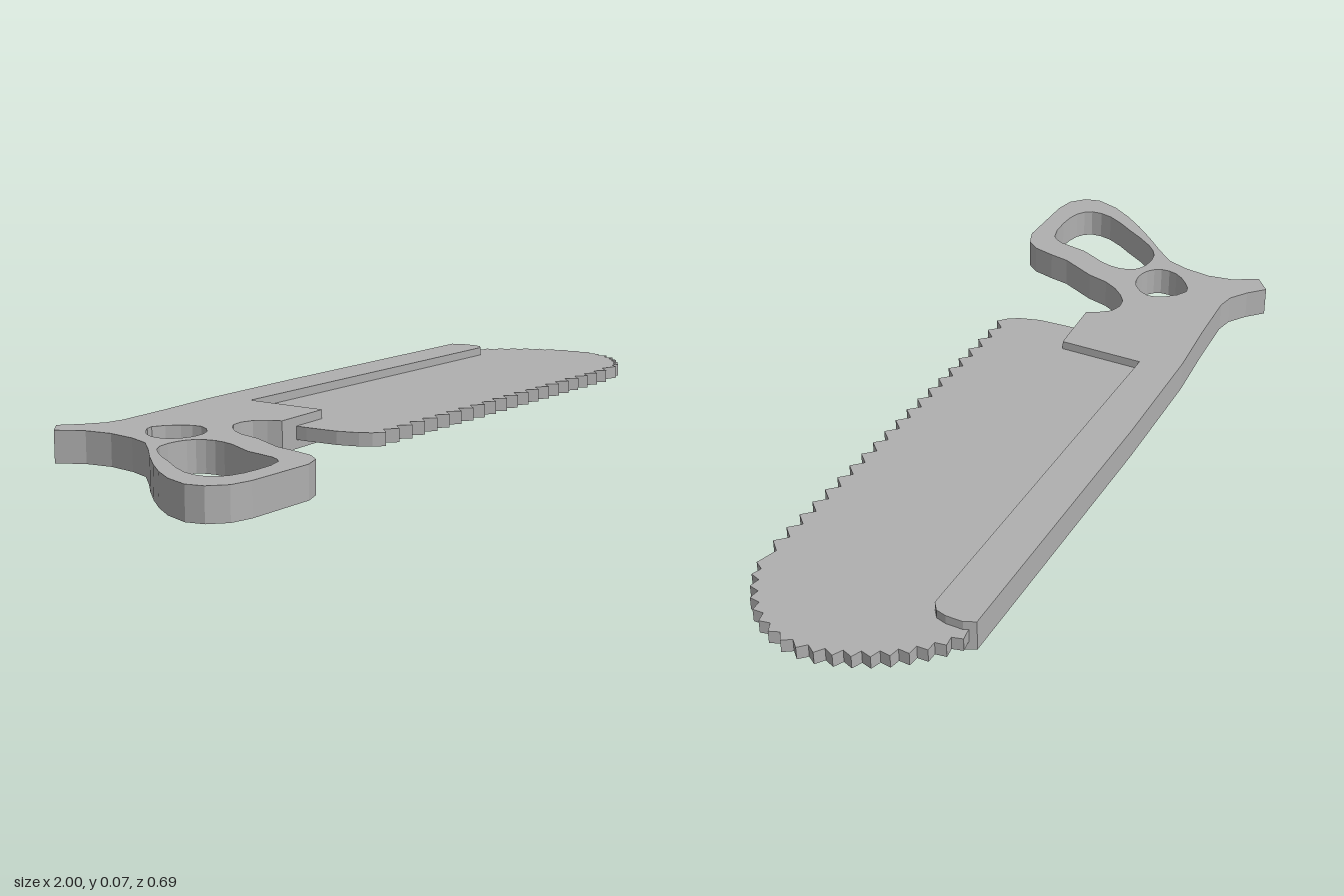
import * as THREE from 'three';

const steel = new THREE.MeshStandardMaterial({ color: 0xb0b0b0 });
steel.name = 'grey steel';

const toPoints = (list) => list.map(([x, z]) => new THREE.Vector2(x, z));

// Flat plate from an (x, z) outline, lying between two heights
function plate(name, outline, holes, bottom, top) {
  const shape = new THREE.Shape(outline);
  shape.holes = holes.map((h) => new THREE.Path(h));
  const geometry = new THREE.ExtrudeGeometry(shape, { depth: top - bottom, bevelEnabled: false });
  geometry.rotateX(Math.PI / 2).translate(0, top, 0);
  const mesh = new THREE.Mesh(geometry, steel);
  mesh.name = name;
  return mesh;
}

// Smooth closed loop for the finger openings
function loop(list) {
  const curve = new THREE.CatmullRomCurve3(list.map(([x, z]) => new THREE.Vector3(x, z, 0)), true);
  return curve.getPoints(list.length * 2).slice(0, -1).map((p) => new THREE.Vector2(p.x, p.y));
}

function makeFrame() {
  const outline = toPoints([
    // horn and spine
    [-0.73, -0.348], [-0.69, -0.31], [-0.645, -0.28], [-0.6, -0.272], [-0.45, -0.28],
    [-0.29, -0.293], [0.03, -0.3], [0.79, -0.3],
    // rounded nose and underside of the spine
    [0.802, -0.275], [0.802, -0.235], [0.795, -0.21], [0.775, -0.195],
    [-0.25, -0.195], [-0.25, 0.015], [-0.41, 0.025],
    // finger notch and front of the grip
    [-0.425, -0.005], [-0.445, -0.03], [-0.475, -0.04], [-0.505, -0.035], [-0.53, -0.017],
    [-0.555, 0.01], [-0.575, 0.045], [-0.59, 0.1], [-0.615, 0.15], [-0.635, 0.19],
    [-0.645, 0.24], [-0.66, 0.295], [-0.685, 0.327], [-0.73, 0.344],
    // butt and back of the grip
    [-0.905, 0.344], [-0.955, 0.333], [-0.99, 0.3], [-1, 0.26], [-0.98, 0.2],
    [-0.945, 0.145], [-0.905, 0.095], [-0.855, 0.04], [-0.805, -0.01], [-0.76, -0.06],
    [-0.74, -0.115], [-0.73, -0.185], [-0.74, -0.25], [-0.775, -0.31],
  ]);
  const upperHole = loop([
    [-0.625, -0.165], [-0.665, -0.145], [-0.7, -0.105], [-0.705, -0.06], [-0.68, -0.03],
    [-0.64, -0.02], [-0.595, -0.033], [-0.56, -0.08], [-0.575, -0.125],
  ]);
  const gripHole = loop([
    [-0.77, -0.01], [-0.71, -0.013], [-0.675, 0.005], [-0.66, 0.045], [-0.67, 0.1],
    [-0.705, 0.17], [-0.72, 0.245], [-0.745, 0.28], [-0.825, 0.292], [-0.895, 0.282],
    [-0.927, 0.25], [-0.922, 0.19], [-0.87, 0.105], [-0.815, 0.025],
  ]);
  return plate('handleFrame', outline, [upperHole, gripHole], 0, 0.073);
}

function makeBlade() {
  // heel hidden in the frame, then the rounded lower corner
  const outline = toPoints([
    [0.79, -0.285], [-0.3, -0.27], [-0.355, -0.05], [-0.355, 0.05],
    [-0.35, 0.13], [-0.335, 0.18], [-0.32, 0.205],
  ]);
  // straight toothed edge
  const teeth = 21, first = -0.297, pitch = 0.0515;
  for (let i = 0; i < teeth; i++) {
    const x = first + i * pitch;
    outline.push(new THREE.Vector2(x, 0.226), new THREE.Vector2(x + pitch / 2, 0.2));
  }
  // toothed round end: points alternate between valley and tip
  const end = new THREE.SplineCurve(toPoints([
    [0.79, 0.208], [0.84, 0.194], [0.91, 0.15], [0.955, 0.1], [0.982, 0.04], [0.987, -0.02],
    [0.974, -0.08], [0.935, -0.165], [0.87, -0.243], [0.805, -0.29],
  ]));
  const steps = 36;
  for (let i = 1; i <= steps; i++) {
    const p = end.getPointAt(i / steps);
    const t = end.getTangentAt(i / steps);
    const out = i % 2 ? 0.011 : -0.006;
    outline.push(new THREE.Vector2(p.x - t.y * out, p.y + t.x * out * (i === steps ? 0 : 1)));
    // outward is the left-hand side of the path, mirrored because z points down
    outline[outline.length - 1].set(p.x - t.y * out, p.y + t.x * out);
  }
  return plate('sawBlade', outline, [], 0.021, 0.052);
}

export function createModel() {
  const model = new THREE.Group();
  model.name = 'handSaw';
  model.add(makeFrame(), makeBlade());
  return model;
}
